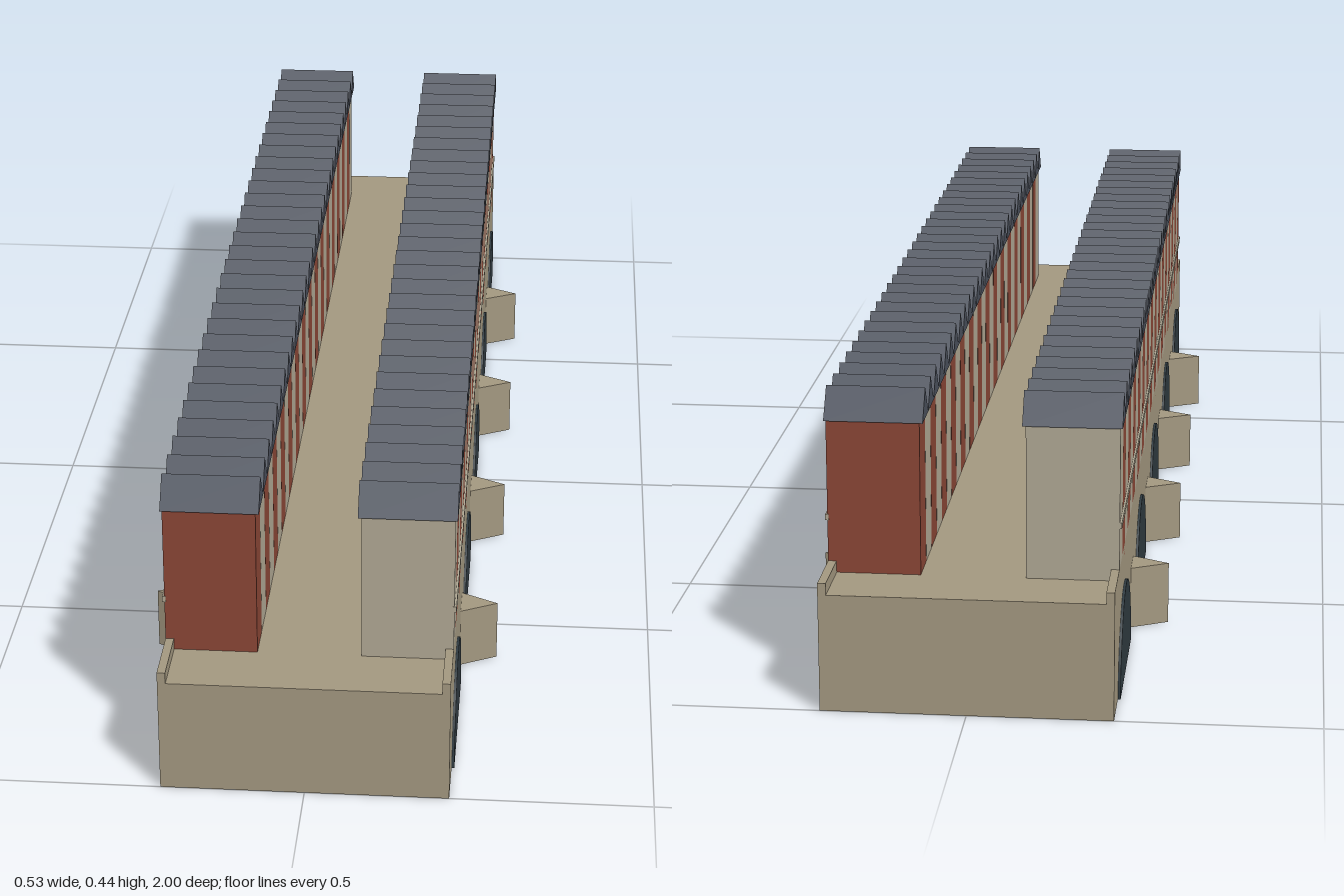
import * as THREE from 'three';

const mat = (color) => new THREE.MeshStandardMaterial({ color, flatShading: true });

export function createModel() {
  const group = new THREE.Group();
  group.name = 'houseBridge';
  const stone = mat(0xa39880), red = mat(0x8a4636), cream = mat(0xb0a894);
  const slate = mat(0x4a505c), dark = mat(0x2f3a40);

  const add = (name, geometry, material, x = 0, y = 0, z = 0) => {
    const mesh = new THREE.Mesh(geometry, material);
    mesh.name = name;
    mesh.position.set(x, y, z);
    group.add(mesh);
    return mesh;
  };
  // Box given by its ranges along x, y and z
  const block = (name, material, [x0, x1], [y0, y1], [z0, z1]) =>
    add(name, new THREE.BoxGeometry(x1 - x0, y1 - y0, z1 - z0), material,
      (x0 + x1) / 2, (y0 + y1) / 2, (z0 + z1) / 2);
  // Range along x, mirrored for the other side
  const span = (s, a, b) => (s > 0 ? [a, b] : [-b, -a]);
  const triangle = (a, b, c) => new THREE.Shape([a, b, c].map(([x, y]) => new THREE.Vector2(x, y)));
  const extrude = (shape, depth) =>
    new THREE.ExtrudeGeometry(shape, { depth, bevelEnabled: false, curveSegments: 32 });

  // Hollow bridge body, open underneath: deck and end walls
  block('deck', stone, [-0.197, 0.197], [0.162, 0.173], [-0.99, 0.99]);
  for (const e of [-1, 1]) {
    block('endWall', stone, [-0.197, 0.197], [0, 0.173], span(e, 0.99, 1));
  }

  // Half-round arch infill, running through the side wall along x
  const archShape = new THREE.Shape();
  archShape.absellipse(0, 0, 0.12, 0.133, 0, Math.PI, false);
  archShape.closePath();
  const archGeo = extrude(archShape, 0.018).translate(0, 0, -0.009).rotateY(Math.PI / 2);

  // Pointed pier cutwater, tip towards +x
  const pierGeo = extrude(triangle([0, -0.03], [0.058, 0], [0, 0.03]), 0.095).rotateX(-Math.PI / 2);

  // Gable roof with its ridge along x
  const roofGeo = extrude(triangle([-0.0315, 0], [0.0315, 0], [0, 0.044]), 0.141)
    .translate(0, 0, -0.0705).rotateY(Math.PI / 2);

  const count = 30, pitch = 0.0603;
  for (const s of [-1, 1]) {
    // Side wall, rising above the deck as a parapet
    block('sideWall', stone, span(s, 0.196, 0.208), [0, 0.19], [-1, 1]);

    for (let i = -2; i <= 2; i++) add('arch', archGeo, dark, s * 0.203, 0, i * 0.4);

    for (const z of [-0.6, -0.2, 0.2, 0.6]) {
      add('cutwater', pierGeo, stone, s * 0.206, 0, z).rotation.y = s > 0 ? 0 : Math.PI;
    }

    // Row of narrow houses in alternating colours
    for (let i = 0; i < count; i++) {
      const z = s * ((count - 1) / 2 - i) * pitch;
      add('house', new THREE.BoxGeometry(0.133, 0.227, 0.059), i % 2 ? red : cream, s * 0.1415, 0.2855, z);
      add('roof', roofGeo, slate, s * 0.1405, 0.398, z);
    }

    // Thin string course along the outer facades
    block('stringCourse', cream, span(s, 0.206, 0.211), [0.251, 0.26], [-0.905, 0.905]);
  }
  return group;
}
